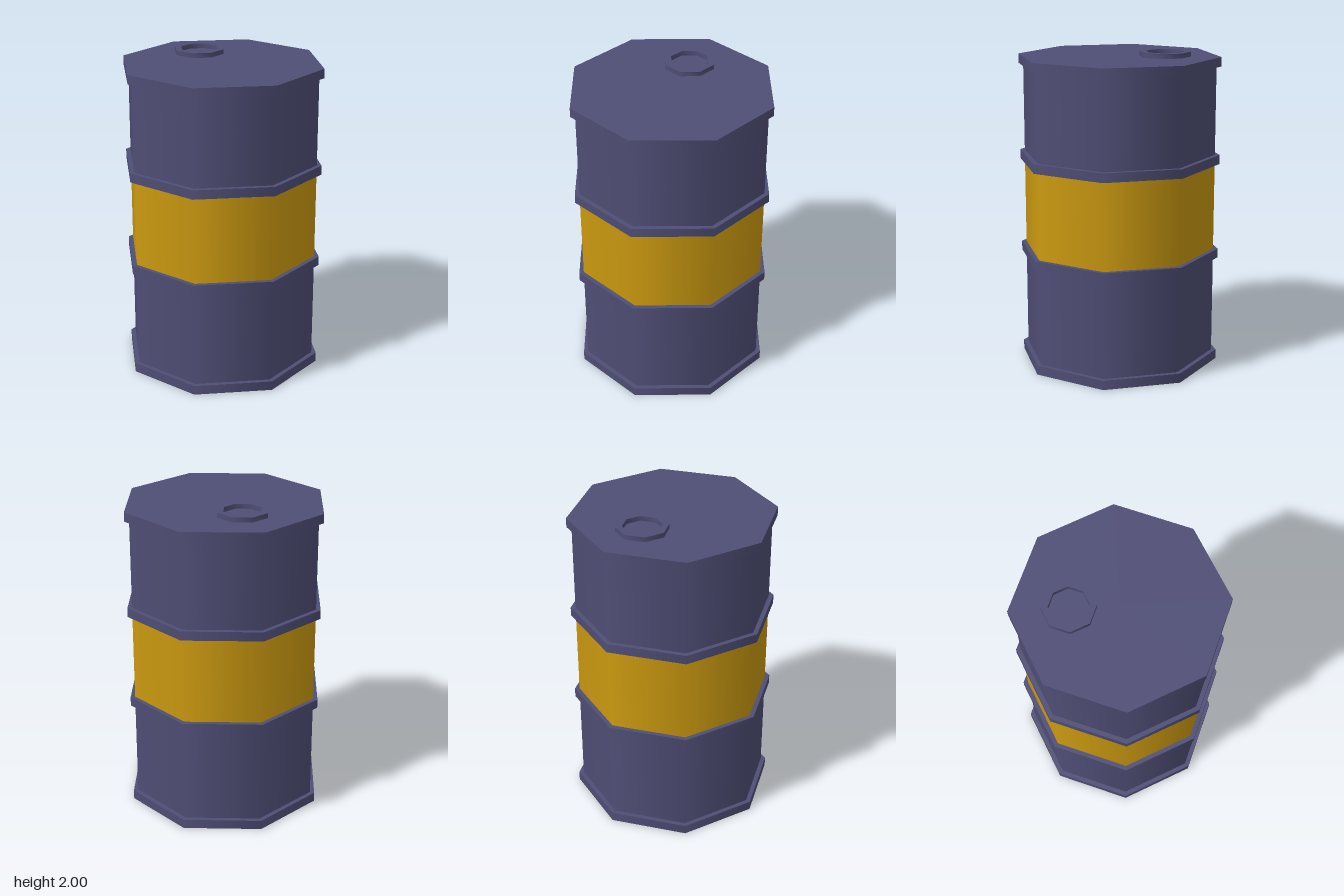
import * as THREE from 'three';
import { toCreasedNormals } from 'three/addons/utils/BufferGeometryUtils.js';

const SIDES = 8;
const BODY_RADIUS = 0.61;
const RIM_RADIUS = 0.64;

export function createModel() {
  const group = new THREE.Group();
  const steel = new THREE.MeshStandardMaterial({ color: 0x4f4e76 });
  const yellow = new THREE.MeshStandardMaterial({ color: 0xcc9a10 });

  const add = (name, geometry, material) => {
    const mesh = new THREE.Mesh(geometry, material);
    mesh.name = name;
    group.add(mesh);
    return mesh;
  };

  // Eight-sided drum section between two heights, smooth around its side
  const section = (name, radius, y0, y1, material, open = false) => {
    const geometry = new THREE.CylinderGeometry(radius, radius, y1 - y0, SIDES, 1, open);
    add(name, geometry, material).position.y = (y0 + y1) / 2;
  };

  // Wall of the drum, with the painted band in the middle
  section('lowerBody', BODY_RADIUS, 0.03, 0.715, steel, true);
  section('paintedBand', BODY_RADIUS, 0.715, 1.325, yellow, true);
  section('upperBody', BODY_RADIUS, 1.325, 1.94, steel, true);

  // Base, two hoops and lid
  section('baseRim', RIM_RADIUS, 0, 0.06, steel);
  section('lowerHoop', RIM_RADIUS, 0.687, 0.745, steel);
  section('upperHoop', RIM_RADIUS, 1.298, 1.356, steel);
  section('lid', RIM_RADIUS, 1.912, 1.97, steel);

  // Raised filler ring near the back of the lid
  const profile = [[0.16, 0], [0.16, 0.03], [0.12, 0.03], [0.12, 0]]
    .map(([r, y]) => new THREE.Vector2(r, y));
  const ring = toCreasedNormals(new THREE.LatheGeometry(profile, SIDES), Math.PI / 3);
  add('fillerRing', ring, steel).position.set(0, 1.97, -0.29);

  return group;
}
